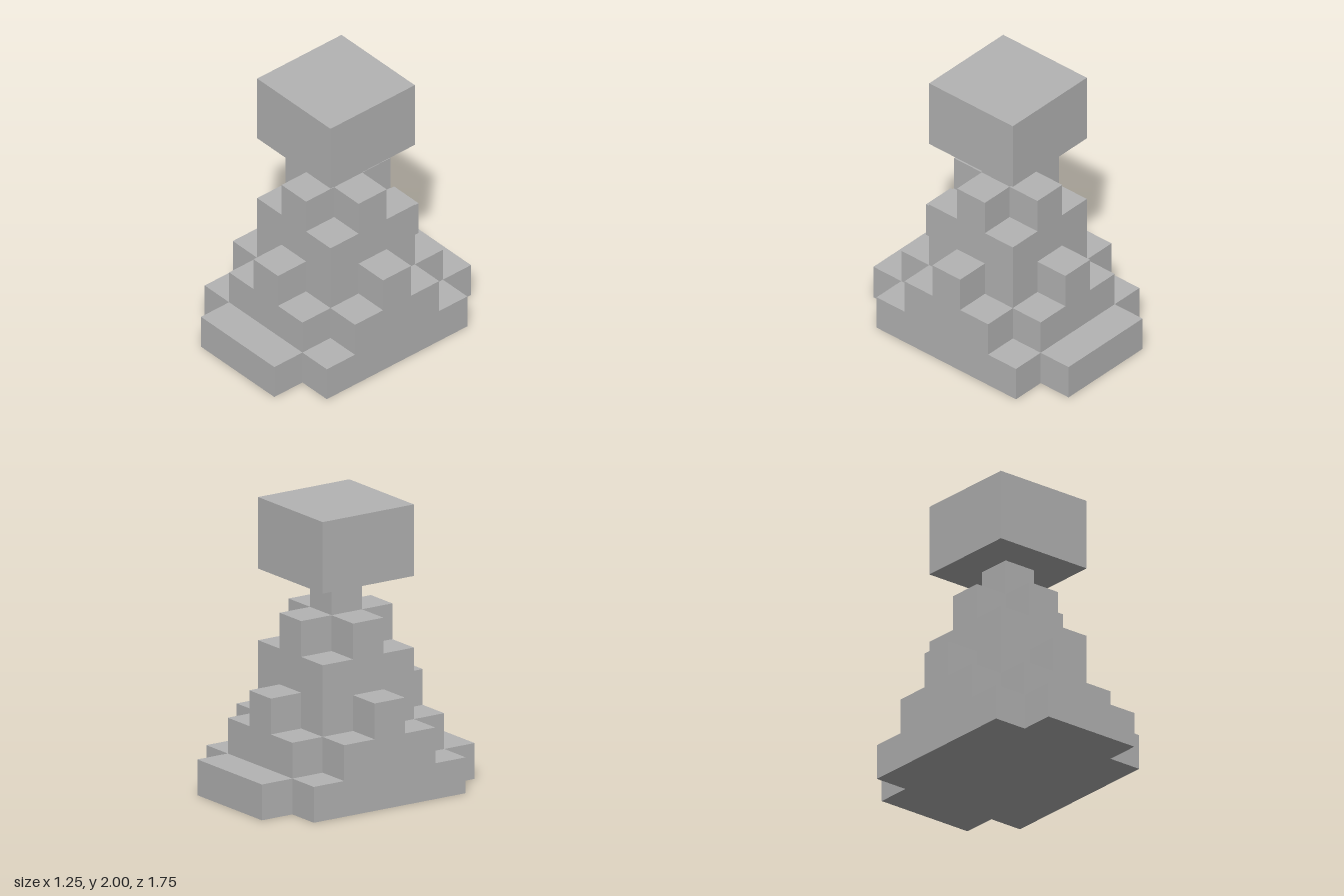
import * as THREE from 'three';

const U = 0.25; // one block

export function createModel() {
  const model = new THREE.Group();
  model.name = 'blockPedestal';
  const stone = new THREE.MeshStandardMaterial({ color: 0xb4b4b4 });
  stone.name = 'grey stone';

  const add = (name, geometry, x, y, z) => {
    const mesh = new THREE.Mesh(geometry, stone);
    mesh.name = name;
    mesh.position.set(x * U, y * U, z * U);
    model.add(mesh);
  };

  // Box measured in blocks, standing on level y
  const box = (name, w, h, d, x, y, z) =>
    add(name, new THREE.BoxGeometry(w * U, h * U, d * U), x, y + h / 2, z);

  // One-block-high slab with a square block missing at each corner
  const notchedSlab = (name, w, d, y) => {
    const a = (w / 2) * U, b = (d / 2) * U, c = a - U, e = b - U;
    const outline = [
      [c, -b], [c, -e], [a, -e], [a, e], [c, e], [c, b],
      [-c, b], [-c, e], [-a, e], [-a, -e], [-c, -e], [-c, -b],
    ].map(([x, z]) => new THREE.Vector2(x, z));
    const geometry = new THREE.ExtrudeGeometry(new THREE.Shape(outline), { depth: U, bevelEnabled: false });
    geometry.rotateX(-Math.PI / 2);
    add(name, geometry, 0, y, 0);
  };

  // Stepped base
  notchedSlab('baseSlab', 5, 7, 0);
  notchedSlab('baseStep', 5, 5, 1);

  // Shaft with a small buttress on each side
  box('shaft', 3, 2, 3, 0, 2, 0);
  for (const s of [-1, 1]) {
    box('sideButtress', 1, 1, 1, 2 * s, 2, 0);
    box('endButtress', 1, 1, 1, 0, 2, 2 * s);
  }

  // Cross-shaped shoulder, narrow neck and large head block
  notchedSlab('shoulder', 3, 3, 4);
  box('neck', 1, 1, 1, 0, 5, 0);
  box('headBlock', 3, 2, 3, 0, 6, 0);

  return model;
}
